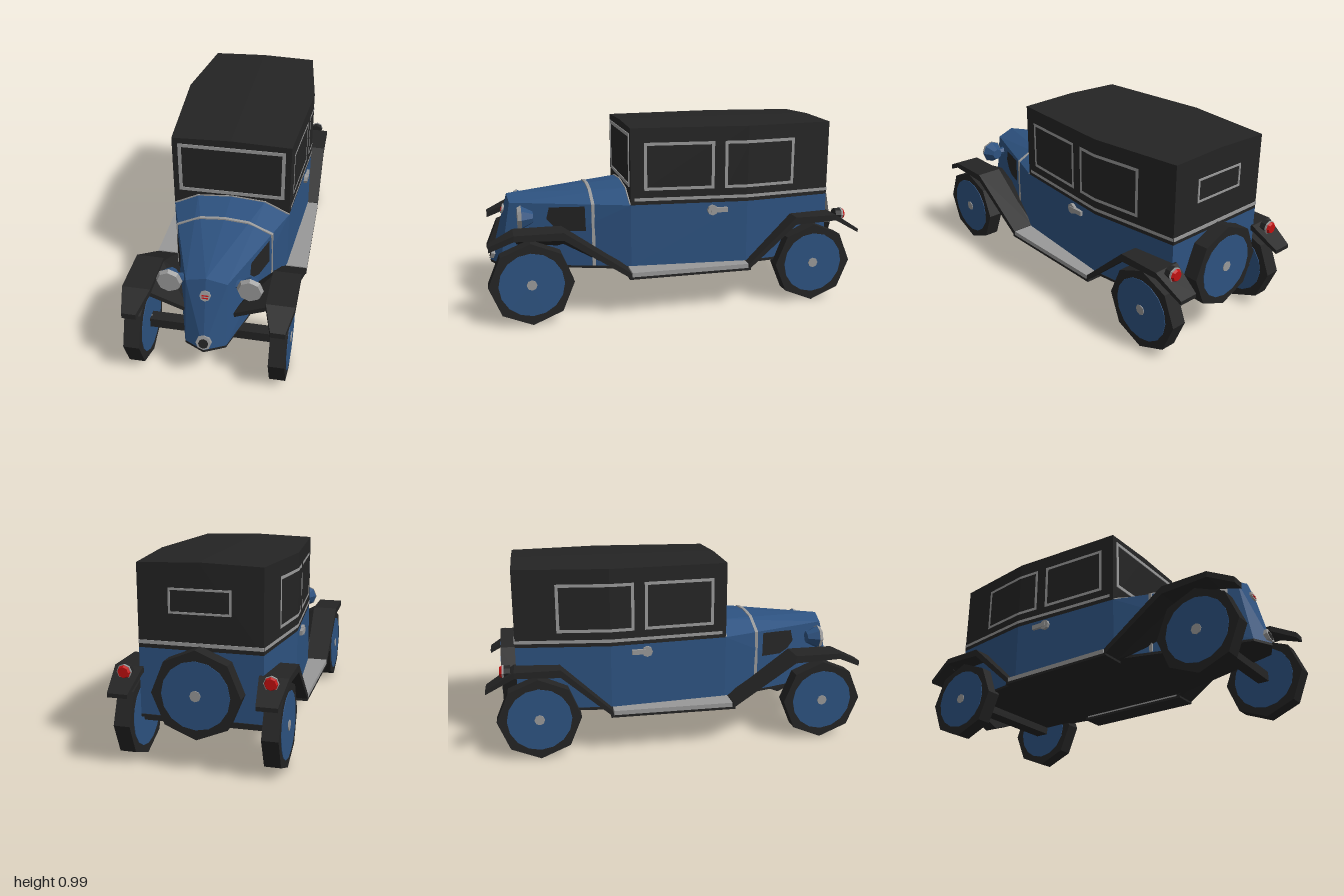
import * as THREE from 'three';
import { ConvexGeometry } from 'three/addons/geometries/ConvexGeometry.js';
import { mergeGeometries } from 'three/addons/utils/BufferGeometryUtils.js';

const paint = (name, color) => {
  const m = new THREE.MeshStandardMaterial({ color });
  m.name = name;
  return m;
};

export function createModel() {
  const car = new THREE.Group();
  car.name = 'vintageCar';
  const black = paint('black', 0x242424);
  const blue = paint('blue', 0x2d5280);
  const grey = paint('grey', 0x999999);
  const red = paint('red', 0xc01010);

  // ---------- helpers ----------
  const faceted = (geo) => {
    const g = geo.index ? geo.toNonIndexed() : geo;
    g.deleteAttribute('uv');
    g.computeVertexNormals();
    return g;
  };
  const mirrored = (geo) => {
    const g = geo.clone().scale(-1, 1, 1);
    const p = g.attributes.position;
    for (let i = 0; i < p.count; i += 3) {
      const a = [p.getX(i), p.getY(i), p.getZ(i)];
      p.setXYZ(i, p.getX(i + 1), p.getY(i + 1), p.getZ(i + 1));
      p.setXYZ(i + 1, ...a);
    }
    g.computeVertexNormals();
    return g;
  };
  const add = (name, geo, mat) => {
    const mesh = new THREE.Mesh(faceted(geo), mat);
    mesh.name = name;
    car.add(mesh);
    return mesh;
  };
  const addPair = (name, geo, mat) => {
    const left = add(name + 'Left', geo, mat);
    add(name + 'Right', mirrored(left.geometry), mat);
  };
  const hull = (pts) => new ConvexGeometry(pts.map((p) => new THREE.Vector3(...p)));
  const bothSides = (pts) => pts.flatMap(([x, y, z]) => [[x, y, z], [-x, y, z]]);
  const chain = (stations) => mergeGeometries(
    stations.slice(1).map((s, i) => faceted(hull([...stations[i], ...s]))));
  const box = (x0, x1, y0, y1, z0, z1) => new THREE.BoxGeometry(x1 - x0, y1 - y0, z1 - z0)
    .translate((x0 + x1) / 2, (y0 + y1) / 2, (z0 + z1) / 2);
  const discZ = (rFront, rBack, len, sides) =>
    new THREE.CylinderGeometry(rFront, rBack, len, sides).rotateX(Math.PI / 2);
  const discX = (r, len, sides) => new THREE.CylinderGeometry(r, r, len, sides).rotateZ(Math.PI / 2);

  // ---------- body: three plan stations [z, half width] ----------
  const plan = [[0.26, 0.31], [-0.36, 0.36], [-0.84, 0.30]];
  const sideX = (z) => (z > -0.36
    ? 0.31 + 0.05 * (0.26 - z) / 0.62
    : 0.36 - 0.06 * (-0.36 - z) / 0.48);
  add('body', hull(bothSides(plan.flatMap(([z, w]) => [[w, 0.25, z], [w, 0.58, z]]))), blue);
  add('cabin', hull(bothSides(plan.flatMap(([z, w]) =>
    [[w, 0.58, z], [w, 0.98, z], [0, 0.99, z]]))), black);
  add('hood', hull(bothSides([
    [0, 0.245, 0.98], [0.1, 0.245, 0.93], [0.1, 0.58, 0.87], [0, 0.61, 0.88],
    [0.31, 0.25, 0.26], [0.31, 0.58, 0.26], [0.18, 0.645, 0.26], [0, 0.66, 0.26],
  ])), blue);
  add('floor', hull(bothSides([[0.98, 0], [0.93, 0.1], ...plan].flatMap(([z, w]) =>
    [[w, 0.235, z], [w, 0.248, z]]))), black);

  // Thin bands across the hood
  const band = (pts, z0, z1) => hull(bothSides(pts.flatMap(([x, y]) => [[x, y, z0], [x, y, z1]])));
  add('hoodBand', band([[0.256, 0.25], [0.251, 0.582], [0.127, 0.64], [0, 0.651]], 0.44, 0.457), grey);
  add('cowlTrim', band([[0.313, 0.585], [0.183, 0.649], [0, 0.664]], 0.258, 0.266), grey);

  // ---------- plates laid on the body sides ----------
  const onSide = (geo, xOf, lift) => {
    const p = geo.attributes.position;
    for (let i = 0; i < p.count; i++) {
      const z = -p.getX(i), y = p.getY(i);
      p.setXYZ(i, xOf(z, y) + lift, y, z);
    }
    return faceted(geo);
  };
  const sidePlate = (z0, z1, y0, y1, lift = 0.003) => {
    if (z0 > -0.36 && z1 < -0.36) {
      return mergeGeometries([sidePlate(z0, -0.36, y0, y1, lift), sidePlate(-0.36, z1, y0, y1, lift)]);
    }
    const g = new THREE.PlaneGeometry(z0 - z1, y1 - y0).translate(-(z0 + z1) / 2, (y0 + y1) / 2, 0);
    return onSide(g, sideX, lift);
  };
  const frame = (a0, a1, y0, y1, t, plate) => {
    const d = Math.sign(a1 - a0) * t;
    return mergeGeometries([
      plate(a0, a1, y0, y0 + t), plate(a0, a1, y1 - t, y1),
      plate(a0, a0 + d, y0 + t, y1 - t), plate(a1 - d, a1, y0 + t, y1 - t)]);
  };
  for (const [name, z0, z1] of [['frontSideWindow', 0.19, -0.18], ['rearSideWindow', -0.235, -0.63]]) {
    addPair(name + 'Frame', frame(z0, z1, 0.655, 0.905, 0.016, sidePlate), grey);
    addPair(name + 'Glass', sidePlate(z0 - 0.016, z1 + 0.016, 0.671, 0.889, 0.001), black);
  }
  addPair('beltTrim', sidePlate(0.24, -0.84, 0.6, 0.617), grey);
  add('rearBeltTrim', box(-0.3, 0.3, 0.6, 0.617, -0.844, -0.838), grey);

  // Windscreen and rear window frames
  const zPlate = (z) => (x0, x1, y0, y1) => faceted(box(x0, x1, y0, y1, z - 0.003, z + 0.003));
  add('windscreenFrame', frame(-0.28, 0.28, 0.67, 0.95, 0.018, zPlate(0.261)), grey);
  add('rearWindowFrame', frame(-0.15, 0.15, 0.75, 0.87, 0.01, zPlate(-0.841)), grey);

  // Hood side vents
  const hoodX = (z, y) => THREE.MathUtils.lerp(
    0.1 + 0.21 * (0.93 - z) / 0.67, 0.1 + 0.21 * (0.87 - z) / 0.61, (y - 0.25) / 0.33);
  const vent = [[0.685, 0.5], [0.65, 0.46], [0.6, 0.437], [0.487, 0.44], [0.49, 0.57], [0.6, 0.565], [0.67, 0.56]];
  addPair('hoodVent', onSide(new THREE.ShapeGeometry(
    new THREE.Shape(vent.map(([z, y]) => new THREE.Vector2(-z, y)))), hoodX, 0.008), black);

  // Door handles
  addPair('doorHandleKnob', discX(0.028, 0.02, 8).translate(sideX(-0.17) + 0.006, 0.54, -0.17), grey);
  addPair('doorHandleLever', box(0.345, 0.365, 0.528, 0.553, -0.25, -0.16), grey);

  // ---------- fenders and running boards ----------
  const rib = ([z, y, x0, x1, t = 0.03]) =>
    [[x0, y, z], [x1, y, z], [x0, y - t, z], [x1, y - t, z]];
  addPair('frontFender', chain([
    [0.99, 0.43, 0.32, 0.39], [0.865, 0.487, 0.28, 0.42], [0.62, 0.487, 0.28, 0.42, 0.04],
    [0.28, 0.248, 0.3, 0.42]].map(rib)), black);
  addPair('rearFender', chain([
    [-0.36, 0.248, 0.3, 0.42], [-0.62, 0.487, 0.28, 0.42, 0.04], [-0.85, 0.487, 0.28, 0.42],
    [-0.995, 0.395, 0.3, 0.4, 0.02]].map(rib)), black);
  addPair('fenderApron', chain([
    [0.86, 0.29, 0.465, 0.1, 0.37], [0.62, 0.29, 0.475, 0.18, 0.37], [0.29, 0.32, 0.25, 0.29, 0.245],
  ].map(([z, xo, yo, xi, yi]) =>
    [[xo, yo, z], [xi, yi, z - 0.02], [xo, yo - 0.025, z], [xi, yi - 0.025, z - 0.02]])), black);
  addPair('runningBoardBase', box(0.29, 0.42, 0.213, 0.226, -0.37, 0.29), black);
  addPair('runningBoardTread', box(0.29, 0.42, 0.226, 0.249, -0.355, 0.275), grey);

  // ---------- wheels, spare and axles ----------
  const wheelParts = [['Tyre', 0.215, 0.08, 8, black], ['Disc', 0.165, 0.086, 16, blue], ['Hub', 0.027, 0.094, 8, grey]];
  for (const [part, r, len, sides, mat] of wheelParts) {
    addPair('frontWheel' + part, discX(r, len, sides).translate(0.355, 0.22, 0.785), mat);
    addPair('rearWheel' + part, discX(r, len, sides).translate(0.355, 0.22, -0.735), mat);
    add('spareWheel' + part, discZ(r, r, len, sides).translate(0, 0.39, -0.878), mat);
  }
  add('frontAxle', box(-0.33, 0.33, 0.193, 0.245, 0.755, 0.815), black);
  add('rearAxle', box(-0.33, 0.33, 0.193, 0.245, -0.775, -0.695), black);

  // ---------- lamps ----------
  addPair('headlampShell', discZ(0.062, 0.03, 0.06, 8).translate(0.197, 0.52, 0.785), blue);
  addPair('headlampLens', discZ(0.056, 0.066, 0.02, 8).translate(0.197, 0.52, 0.825), grey);
  addPair('headlampBracket', new THREE.CylinderGeometry(0.014, 0.026, 0.1, 6)
    .rotateZ(-Math.PI / 2).translate(0.155, 0.52, 0.785), blue);
  addPair('tailLampHousing', discZ(0.033, 0.033, 0.035, 8).translate(0.35, 0.475, -0.885), black);
  addPair('tailLampRim', discZ(0.036, 0.036, 0.01, 8).translate(0.35, 0.475, -0.905), grey);
  addPair('tailLampLens', discZ(0.034, 0.026, 0.014, 8).translate(0.35, 0.475, -0.915), red);

  // ---------- nose details, tilted with the raked nose ----------
  const onNose = (geo, y, lift) =>
    geo.rotateX(-0.267).translate(0, y, 0.88 + 0.1 * (0.61 - y) / 0.365 + lift);
  add('noseDisc', onNose(discZ(0.027, 0.027, 0.03, 8), 0.525, -0.008), grey);
  for (const dy of [-0.006, 0.006]) {
    add('noseDiscStripe', onNose(new THREE.BoxGeometry(0.032, 0.005, 0.006), 0.525 + dy, 0.007), red);
  }
  add('crankRing', onNose(discZ(0.038, 0.038, 0.03, 8), 0.287, -0.008), grey);
  add('crankHole', onNose(discZ(0.025, 0.025, 0.006, 8), 0.287, 0.007), black);

  return car;
}
